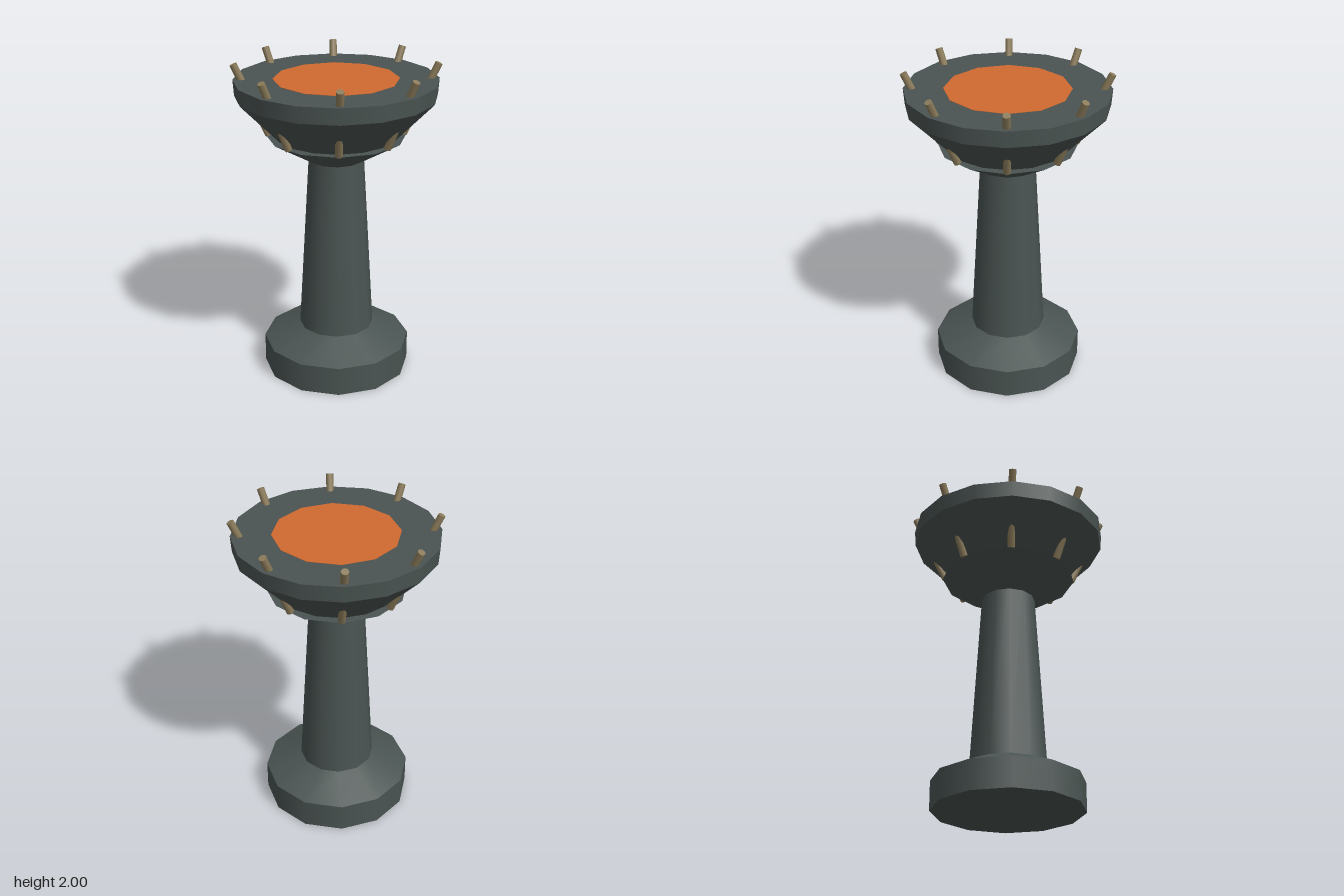
import * as THREE from 'three';

const stone = new THREE.MeshStandardMaterial({ color: 0x4a5452 });
const bone = new THREE.MeshStandardMaterial({ color: 0x8b7b5a });
const ember = new THREE.MeshStandardMaterial({ color: 0xd06a30 });

// Upright tapered drum between two heights
function drum(name, rBottom, rTop, y0, y1, sides, material = stone) {
  const mesh = new THREE.Mesh(new THREE.CylinderGeometry(rTop, rBottom, y1 - y0, sides), material);
  mesh.position.y = (y0 + y1) / 2;
  mesh.name = name;
  return mesh;
}

export function createModel() {
  const model = new THREE.Group();
  model.name = 'brazier';

  // Pedestal
  model.add(
    drum('base', 0.465, 0.465, 0, 0.185, 12),
    drum('baseShoulder', 0.465, 0.235, 0.185, 0.285, 12),
    drum('shaft', 0.235, 0.17, 0.285, 1.4, 12)
  );

  // Bowl
  model.add(
    drum('bowlCollar', 0.17, 0.425, 1.4, 1.55, 12),
    drum('bowl', 0.37, 0.61, 1.55, 1.8, 16),
    drum('rim', 0.61, 0.617, 1.8, 1.9, 16),
    drum('embers', 0.38, 0.38, 1.87, 1.902, 12, ember)
  );

  // Ring of rods leaning outward through the bowl wall
  const bottom = new THREE.Vector2(0.408, 1.555);
  const top = new THREE.Vector2(0.61, 1.991);
  const lean = Math.atan2(top.x - bottom.x, top.y - bottom.y);
  const rodGeometry = new THREE.CylinderGeometry(0.023, 0.023, top.distanceTo(bottom), 8);
  for (let i = 0; i < 8; i++) {
    const pivot = new THREE.Group();
    pivot.name = 'rod' + (i + 1);
    pivot.rotation.y = (i * Math.PI) / 4;
    const rod = new THREE.Mesh(rodGeometry, bone);
    rod.name = 'rodShaft';
    rod.position.set(0, (bottom.y + top.y) / 2, (bottom.x + top.x) / 2);
    rod.rotation.x = lean;
    pivot.add(rod);
    model.add(pivot);
  }
  return model;
}
